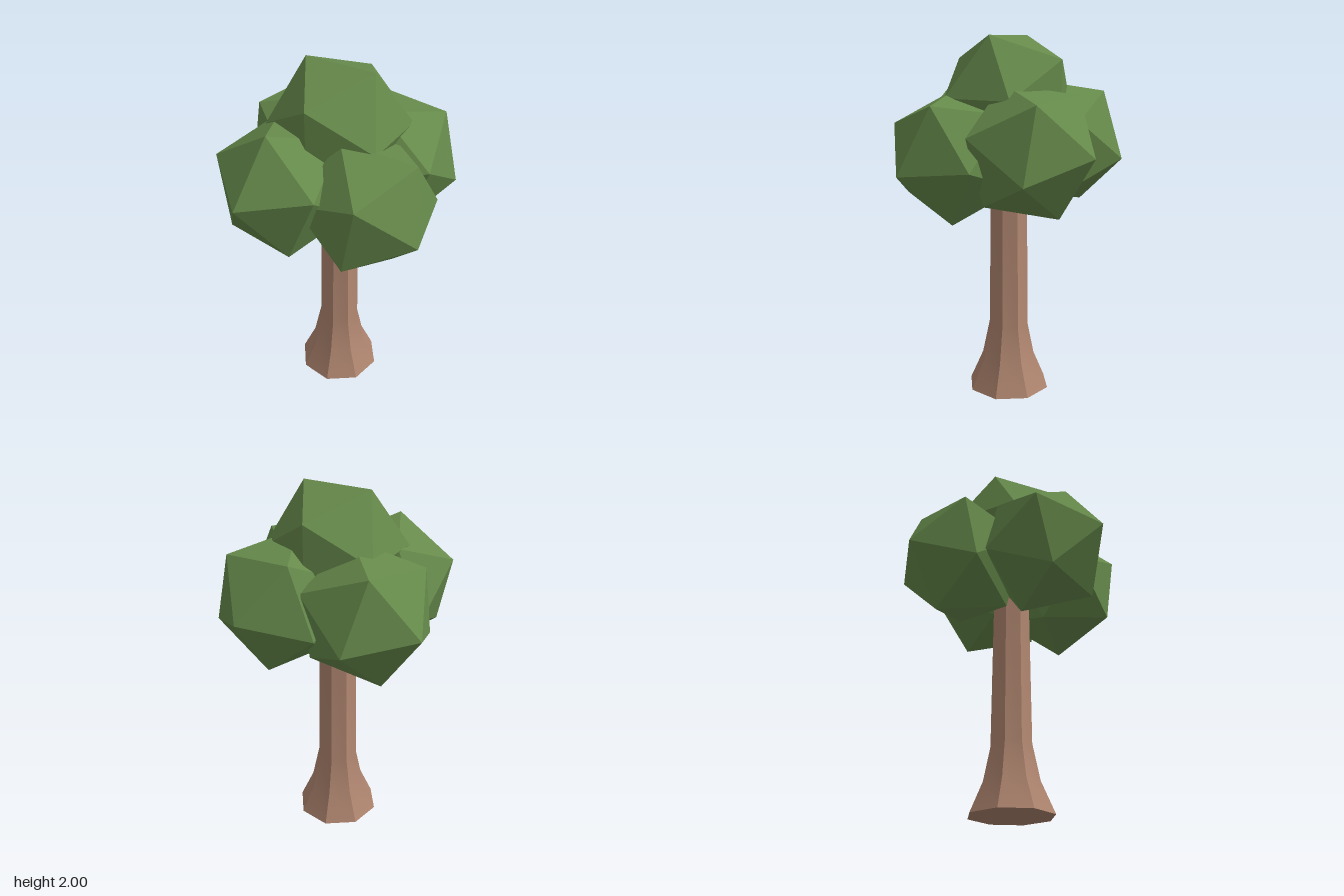
import * as THREE from 'three';
import { toCreasedNormals } from 'three/addons/utils/BufferGeometryUtils.js';

const bark = new THREE.MeshStandardMaterial({ color: 0xb08670 });
const leaves = new THREE.MeshStandardMaterial({ color: 0x668a4b, flatShading: true });
const LEAF_RADIUS = 0.378;

// Icosahedral leaf clump, turned so that one of its edges runs from direction a to direction b
function clump(name, center, a, b) {
  const va = new THREE.Vector3(...a).normalize();
  const vb = new THREE.Vector3(...b).normalize();
  const y = va.clone().add(vb).normalize();
  const x = vb.clone().sub(va);
  x.addScaledVector(y, -x.dot(y)).normalize();
  const z = new THREE.Vector3().crossVectors(x, y);

  const mesh = new THREE.Mesh(new THREE.IcosahedronGeometry(LEAF_RADIUS, 0), leaves);
  mesh.name = name;
  mesh.quaternion.setFromRotationMatrix(new THREE.Matrix4().makeBasis(x, y, z));
  mesh.position.set(...center);
  return mesh;
}

// Eight-sided trunk, flared at the foot, closed at both ends
function trunk() {
  const profile = [[0, 0], [0.236, 0], [0.159, 0.175], [0.116, 0.377], [0.104, 1.3], [0, 1.3]]
    .map(([r, y]) => new THREE.Vector2(r, y));
  const start = THREE.MathUtils.degToRad(32.8);
  const geometry = new THREE.LatheGeometry(profile, 8, start, Math.PI * 2);
  const mesh = new THREE.Mesh(toCreasedNormals(geometry, Math.PI / 6), bark);
  mesh.name = 'trunk';
  mesh.position.set(0.004, 0, -0.022);
  return mesh;
}

export function createModel() {
  const tree = new THREE.Group();
  tree.name = 'tree';
  tree.add(trunk());

  // Crown: four clumps around the trunk and one on top
  const crown = new THREE.Group();
  crown.name = 'crown';
  crown.add(
    clump('frontLeaves', [-0.04, 1.417, 0.307], [0.09, 0.031, 0.368], [0.055, 0.35, 0.133]),
    clump('backLeaves', [0.095, 1.418, -0.314], [-0.102, -0.008, -0.366], [0.162, 0.259, -0.221]),
    clump('leftLeaves', [0.313, 1.377, 0.046], [0.37, -0.077, -0.004], [0.227, 0.278, -0.111]),
    clump('rightLeaves', [-0.308, 1.415, -0.085], [-0.378, -0.02, 0.018], [-0.197, 0.288, -0.163]),
    clump('topLeaves', [0.004, 1.678, -0.022], [-0.189, 0.322, 0.068], [0.188, 0.322, -0.068]),
  );
  tree.add(crown);
  return tree;
}
